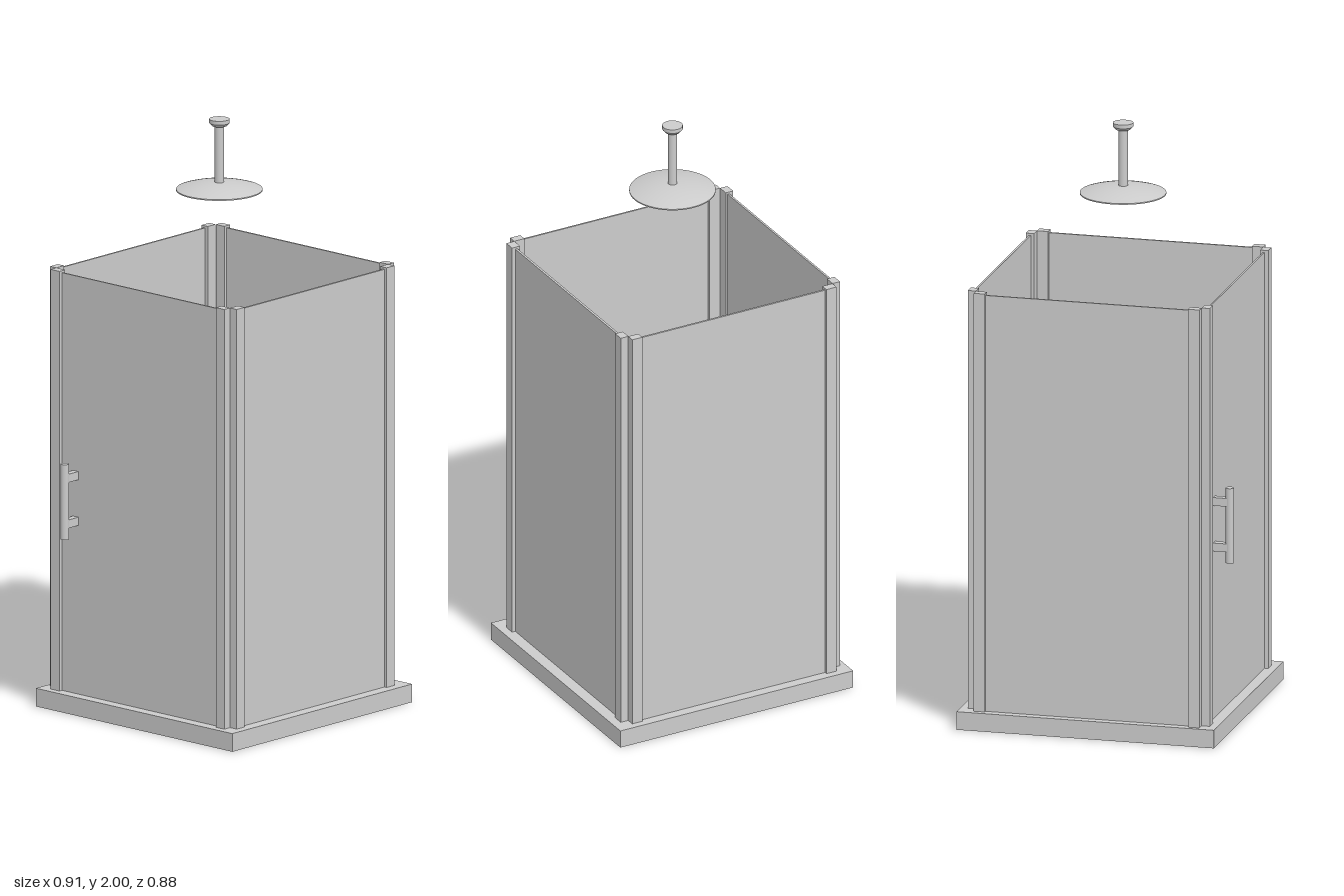
import * as THREE from 'three';

const grey = new THREE.MeshStandardMaterial({ color: 0xcccccc });
const smoothSides = 40;

export function createModel() {
  const root = new THREE.Group();

  const add = (name, geometry, x, y, z, parent = root) => {
    const mesh = new THREE.Mesh(geometry, grey);
    mesh.name = name;
    mesh.position.set(x, y, z);
    parent.add(mesh);
    return mesh;
  };
  // Box given by its extents on each axis
  const box = (name, [x0, x1], [y0, y1], [z0, z1], parent) =>
    add(name, new THREE.BoxGeometry(x1 - x0, y1 - y0, z1 - z0),
      (x0 + x1) / 2, (y0 + y1) / 2, (z0 + z1) / 2, parent);
  const cylinder = (name, r, h, x, y, z, parent) =>
    add(name, new THREE.CylinderGeometry(r, r, h, smoothSides), x, y, z, parent);
  const lathe = (name, profile, parent) =>
    add(name, new THREE.LatheGeometry(profile.map(p => new THREE.Vector2(...p)), 64), 0, 0, 0, parent);

  // Shower tray
  const floor = 0.062;
  box('tray', [-0.427, 0.453], [0, floor], [-0.443, 0.437]);

  // Four glass panels
  const glass = [floor, 1.488];
  box('leftGlass', [0.411, 0.418], glass, [-0.36, 0.345]);
  box('rightGlassDoor', [-0.389, -0.383], glass, [-0.365, 0.345]);
  box('frontGlass', [-0.34, 0.365], glass, [0.388, 0.396]);
  box('backGlass', [-0.34, 0.365], glass, [-0.414, -0.407]);

  // Pairs of uprights touching at each corner
  const posts = [
    [[-0.402, -0.374], [-0.400, -0.360]],
    [[-0.374, -0.335], [-0.428, -0.400]],
    [[0.400, 0.428], [-0.394, -0.356]],
    [[0.362, 0.400], [-0.423, -0.395]],
    [[-0.402, -0.374], [0.340, 0.378]],
    [[-0.374, -0.335], [0.378, 0.408]],
    [[0.400, 0.428], [0.340, 0.378]],
    [[0.362, 0.400], [0.377, 0.406]],
  ];
  for (const [x, z] of posts) box('cornerPost', x, [floor, 1.495], z);

  // Door handle: upright bar on two brackets
  const handle = new THREE.Group();
  handle.name = 'doorHandle';
  root.add(handle);
  cylinder('handleBar', 0.014, 0.257, -0.443, 0.728, -0.299, handle);
  for (const y of [0.652, 0.808])
    box('handleBracket', [-0.44, -0.387], [y - 0.014, y + 0.014], [-0.311, -0.287], handle);

  // Mixer on the inside of the left panel
  const mixer = new THREE.Group();
  mixer.name = 'mixer';
  mixer.position.set(0.386, 0.75, 0.02);
  root.add(mixer);
  cylinder('mixerBody', 0.016, 0.318, 0, 0, 0, mixer).rotation.x = Math.PI / 2;
  cylinder('mixerMount', 0.041, 0.046, 0.002, 0, 0, mixer).rotation.z = Math.PI / 2;
  cylinder('mixerPin', 0.008, 0.02, 0, 0.02, 0.14, mixer);

  // Overhead shower: shallow domed rose, pipe and ceiling flange
  const shower = new THREE.Group();
  shower.name = 'overheadShower';
  shower.position.z = -0.012;
  root.add(shower);
  const dome = [];
  for (let i = 0; i <= 14; i++) {
    const t = 1 - i / 14;
    dome.push([0.143 * t, 1.761 + 0.024 * (1 - t * t)]);
  }
  lathe('roseDome', dome, shower);
  lathe('roseRim', [[0.143, 1.757], [0.143, 1.761]], shower);
  lathe('roseFace', [[0, 1.757], [0.143, 1.757]], shower);
  cylinder('pipe', 0.0155, 0.217, 0, 1.8835, 0, shower);
  cylinder('flange', 0.034, 0.013, 0, 1.9935, 0, shower);
  lathe('flangeNeck', [[0.0155, 1.974], [0.025, 1.977], [0.034, 1.987]], shower);

  return root;
}
